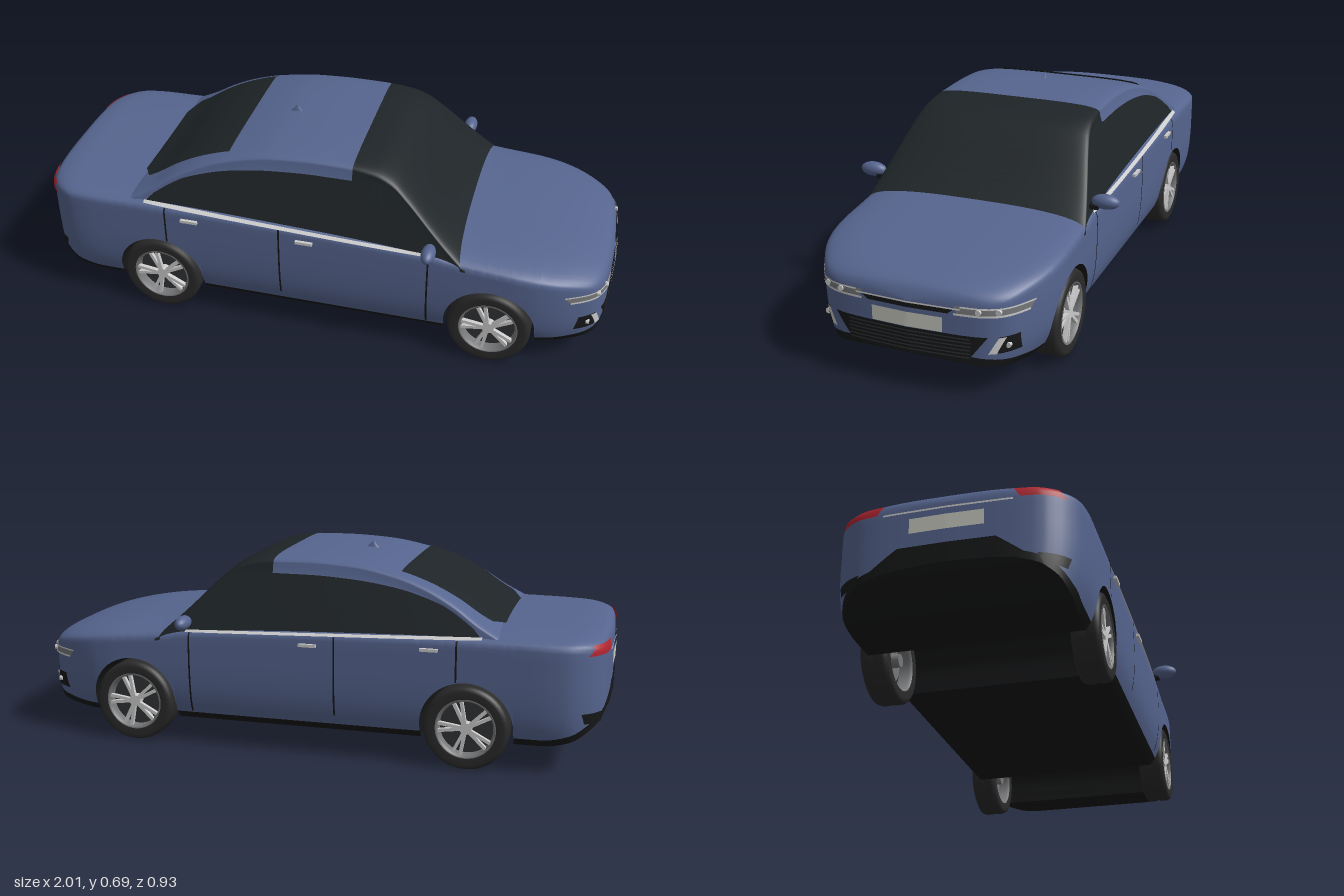
import * as THREE from 'three';
import { mergeVertices, toCreasedNormals } from 'three/addons/utils/BufferGeometryUtils.js';

const mat = (color) => new THREE.MeshStandardMaterial({ color, side: THREE.DoubleSide });
const PAINT = mat(0x56658f), GLASS = mat(0x1e2427), BLACK = mat(0x161718), RUBBER = mat(0x2a2a2b);
const CHROME = mat(0xcccccc), PLATE = mat(0xc8c8c0), RED = mat(0xb02530), GREY = mat(0x77787a), MESH = mat(0x303336);

// Smooth monotone curve through a few [x, y] points
function curve(p) {
  const d = p.slice(1).map((q, i) => (q[1] - p[i][1]) / (q[0] - p[i][0]));
  const m = p.map((_, i) => {
    if (i === 0) return d[0];
    if (i === p.length - 1) return d[i - 1];
    return d[i - 1] * d[i] <= 0 ? 0 : (2 * d[i - 1] * d[i]) / (d[i - 1] + d[i]);
  });
  return (x) => {
    if (x <= p[0][0]) return p[0][1];
    if (x >= p[p.length - 1][0]) return p[p.length - 1][1];
    const i = p.findIndex((q) => q[0] > x) - 1;
    const h = p[i + 1][0] - p[i][0], t = (x - p[i][0]) / h, s = 1 - t;
    return p[i][1] * (1 + 2 * t) * s * s + m[i] * h * t * s * s + p[i + 1][1] * t * t * (3 - 2 * t) - m[i + 1] * h * t * t * s;
  };
}
const range = (a, b, n) => Array.from({ length: n + 1 }, (_, i) => a + ((b - a) * i) / n);

// Body curves along x: plan half-width, top line, bottom line; and side bulge by height
const width = curve([[-1, 0], [-0.995, 0.19], [-0.98, 0.285], [-0.93, 0.35], [-0.87, 0.38], [-0.78, 0.388], [0.68, 0.388], [0.75, 0.383], [0.82, 0.368], [0.9, 0.332], [0.95, 0.295], [0.98, 0.24], [0.99, 0.18], [1, 0]]);
const top = curve([[-1, 0.42], [-0.99, 0.443], [-0.97, 0.457], [-0.9, 0.465], [-0.6, 0.468], [0, 0.455], [0.42, 0.435], [0.5, 0.423], [0.7, 0.405], [0.85, 0.382], [0.95, 0.354], [0.98, 0.337], [0.993, 0.315], [1, 0.295]]);
const bottom = curve([[-1, 0.22], [-0.985, 0.19], [-0.95, 0.155], [-0.89, 0.115], [-0.8, 0.095], [0.78, 0.088], [0.9, 0.097], [0.98, 0.112], [1, 0.125]]);
const bulge = curve([[0.08, 0.86], [0.12, 0.935], [0.17, 0.975], [0.23, 0.993], [0.3, 1], [0.5, 1]]);
const AXLES = [-0.555, 0.62], WHEEL_Y = 0.145, ARCH = 0.155, CROWN = 0.05;

// Lower body edge, lifted over the wheels
function lowEdge(x) {
  for (const c of AXLES) {
    const d = Math.abs(x - c);
    if (d <= ARCH + 1e-6) return WHEEL_Y + Math.sqrt(Math.max(0, ARCH * ARCH - d * d));
  }
  return bottom(x);
}
const trimEdge = (x) => Math.max(lowEdge(x), bottom(x) + 0.025);
function halfWidth(x, y) {
  const k = (y - top(x) + CROWN) / CROWN;
  if (k >= 1) return 0;
  return width(x) * bulge(y) * (k > 0 ? Math.cbrt(1 - k ** 3) : 1);
}

// Greenhouse curves: roof line, top of the side glass, inward lean of the sides
const roof = curve([[-0.69, 0.44], [-0.65, 0.463], [-0.58, 0.502], [-0.5, 0.555], [-0.4, 0.605], [-0.3, 0.638], [-0.15, 0.665], [0, 0.672], [0.12, 0.67], [0.2, 0.66], [0.26, 0.637], [0.32, 0.588], [0.4, 0.51], [0.46, 0.453], [0.5, 0.418], [0.53, 0.39]]);
const glassTop = curve([[-0.61, 0.43], [-0.55, 0.49], [-0.45, 0.545], [-0.3, 0.587], [-0.15, 0.606], [0, 0.613], [0.13, 0.613]]);
const lean = (y) => 0.372 - 0.33 * (y - 0.42);
const cabinBase = (x) => top(x) - CROWN;
const roofEdge = (x) => Math.max(cabinBase(x), roof(x) - 0.035);
const glassEdge = (x) => Math.min(roofEdge(x), Math.max(cabinBase(x), glassTop(x)));
const roofY = (x, z) => {
  const e = roofEdge(x);
  return e + (roof(x) - e) * Math.pow(Math.max(0, 1 - (Math.abs(z) / lean(e)) ** 4), 0.25);
};

// Skin a list of cross-sections
function skin(sections, crease) {
  const n = sections[0].length, index = [];
  for (let i = 0; i < sections.length - 1; i++)
    for (let j = 0; j < n - 1; j++) {
      const a = i * n + j, b = a + n;
      index.push(a, a + 1, b, b, a + 1, b + 1);
    }
  let g = new THREE.BufferGeometry();
  g.setAttribute('position', new THREE.Float32BufferAttribute(sections.flat(2), 3));
  g.setIndex(index);
  g = mergeVertices(g, 1e-5);
  if (crease) return toCreasedNormals(g, crease);
  g.computeVertexNormals();
  return g;
}
const mirrorSection = (half) => [...half, ...half.slice(0, -1).reverse().map(([x, y, z]) => [x, y, -z])];

export function createModel() {
  const car = new THREE.Group();
  car.name = 'car';
  const add = (name, geo, material, parent = car, pos = [0, 0, 0]) => {
    const m = new THREE.Mesh(geo, material);
    m.name = name;
    m.position.set(...pos);
    parent.add(m);
    return m;
  };

  // Body stations: even spacing, denser at both ends and round the arches
  let xs = range(-0.8, 0.8, 40);
  for (let k = 0; k <= 16; k++) xs.push(1 - 0.2 * (k / 16) ** 2, -1 + 0.2 * (k / 16) ** 2);
  for (const c of AXLES) {
    for (const a of range(0, Math.PI, 24)) xs.push(c + ARCH * Math.cos(a));
    xs.push(c - ARCH - 2e-4, c + ARCH + 2e-4);
  }
  xs = [...new Set(xs)].sort((a, b) => a - b);

  add('bodyShell', skin(xs.map((x) => {
    const ys = top(x) - CROWN;
    const half = range(trimEdge(x), ys, 9).map((y) => [x, y, width(x) * bulge(y)]);
    for (const a of range(0, Math.PI / 2, 12).slice(1)) {
      const y = ys + CROWN * Math.pow(Math.sin(a), 2 / 3);
      half.push([x, y, width(x) * bulge(y) * Math.pow(Math.max(0, Math.cos(a)), 2 / 3)]);
    }
    return mirrorSection(half);
  })), PAINT);
  for (const s of [1, -1])
    add('sillTrim', skin(xs.map((x) => range(lowEdge(x), trimEdge(x), 2).map((y) => [x, y, s * width(x) * bulge(y)]))), BLACK);
  add('underbody', skin(xs.map((x) => [1, -1].map((s) => [x, lowEdge(x), s * width(x) * bulge(lowEdge(x))])), 0.6), BLACK);

  // Greenhouse: roof with rails, side glass, windscreen, rear window
  const upper = (x) => [[x, glassEdge(x), lean(glassEdge(x))], ...range(0, Math.PI / 2, 14).map((a) => {
    const e = roofEdge(x);
    return [x, e + (roof(x) - e) * Math.sqrt(Math.sin(a)), lean(e) * Math.sqrt(Math.max(0, Math.cos(a)))];
  })];
  const sideWall = (x, s) => range(cabinBase(x), glassEdge(x), 4).map((y) => [x, y, s * lean(y)]);
  const rearXs = range(-0.69, 0.125, 40), frontXs = range(0.125, 0.53, 24);
  add('roof', skin(rearXs.map((x) => mirrorSection(upper(x)))), PAINT);
  for (const s of [1, -1]) add('sideGlass', skin(rearXs.map((x) => sideWall(x, s))), GLASS);
  add('windscreen', skin(frontXs.map((x) => mirrorSection([...range(cabinBase(x), glassEdge(x), 3).map((y) => [x, y, lean(y)]), ...upper(x).slice(1)]))), GLASS);
  add('rearWindow', skin(range(-0.66, -0.31, 24).map((x) => {
    const w = Math.min(0.27, 0.19 + (x + 0.66) * 1.8);
    return range(-w, w, 16).map((z) => [x - 0.002, roofY(x, z) + 0.005, z]);
  })), GLASS);

  // Thin patches that follow the body side
  const sidePatch = (name, x0, x1, lo, hi, material, off, ny = 1) => {
    for (const s of [1, -1])
      add(name, skin(range(x0, x1, Math.ceil((x1 - x0) * 24)).map((x) => range(lo(x), hi(x), ny).map((y) =>
        [x, y, s * (Math.max(halfWidth(x, y), y > 0.4 ? lean(y) : 0) + off)]))), material);
  };
  const belt = (x) => 0.425 - 0.036 * x;
  sidePatch('beltMoulding', -0.6, 0.42, (x) => belt(x) - 0.004, (x) => belt(x) + 0.004, CHROME, 0.005);
  for (const [x, y0] of [[-0.52, 0.3], [-0.11, 0.15], [0.405, 0.12]])
    sidePatch('doorSeam', x - 0.003, x + 0.003, () => y0, () => belt(x) - 0.006, BLACK, 0.002, 16);

  // Patches that wrap round the nose (dir 1) or tail (dir -1), given by their z limits at bottom and top
  const endX = (dir, z, y) => {
    let a = 0.6, b = 1;
    for (let i = 0; i < 30; i++) {
      const m = (a + b) / 2;
      if (halfWidth(dir * m, y) > Math.abs(z)) a = m; else b = m;
    }
    return dir * a;
  };
  const endPatch = (name, dir, [y0, y1], [a0, a1], [b0, b1], material, off = 0.005, both = true) => {
    for (const s of both ? [1, -1] : [1])
      add(name, skin(range(0, 1, 20).map((u) => range(0, 1, 4).map((v) => {
        const y = y0 + (y1 - y0) * v, z = s * ((a0 + (a1 - a0) * u) * (1 - v) + (b0 + (b1 - b0) * u) * v);
        return [endX(dir, z, y) + dir * off, y, z];
      }))), material);
  };
  // Nose
  endPatch('grille', 1, [0.13, 0.21], [-0.19, 0.19], [-0.25, 0.25], BLACK, 0.004, false);
  for (const y of range(0.14, 0.2, 5)) endPatch('grilleBar', 1, [y - 0.002, y + 0.002], [-0.2, 0.2], [-0.2, 0.2], MESH, 0.006, false);
  endPatch('noseSlot', 1, [0.276, 0.291], [-0.13, 0.13], [-0.15, 0.15], BLACK, 0.005, false);
  endPatch('noseMoulding', 1, [0.291, 0.296], [-0.17, 0.17], [-0.17, 0.17], CHROME, 0.006, false);
  endPatch('frontPlate', 1, [0.214, 0.262], [-0.115, 0.115], [-0.115, 0.115], PLATE, 0.008, false);
  endPatch('headlight', 1, [0.276, 0.303], [0.16, 0.345], [0.15, 0.355], GREY, 0.004);
  endPatch('headlightStrip', 1, [0.274, 0.281], [0.15, 0.345], [0.15, 0.345], CHROME, 0.006);
  endPatch('headlightStrip', 1, [0.299, 0.304], [0.17, 0.355], [0.17, 0.355], CHROME, 0.006);
  endPatch('fogLightRecess', 1, [0.155, 0.21], [0.275, 0.325], [0.28, 0.325], BLACK);
  endPatch('fogLightBlade', 1, [0.155, 0.208], [0.25, 0.272], [0.25, 0.278].map((z, i) => z + (i ? 0.02 : 0.03)), CHROME, 0.007);
  // Tail
  endPatch('tailLight', -1, [0.405, 0.437], [0.22, 0.35], [0.2, 0.325], RED, 0.006);
  endPatch('tailMoulding', -1, [0.397, 0.403], [-0.2, 0.2], [-0.2, 0.2], CHROME, 0.005, false);
  endPatch('rearPlate', -1, [0.325, 0.375], [-0.115, 0.115], [-0.115, 0.115], PLATE, 0.006, false);
  endPatch('rearDiffuser', -1, [0.215, 0.28], [-0.24, 0.24], [-0.15, 0.15], BLACK, 0.005, false);
  endPatch('rearReflector', -1, [0.18, 0.215], [0.29, 0.345], [0.27, 0.355], BLACK);

  // Lamps, handles, mirrors on both sides
  const lamp = new THREE.CylinderGeometry(0.009, 0.009, 0.012, 16).rotateZ(Math.PI / 2);
  for (const s of [1, -1]) {
    for (const [z, y] of [[0.225, 0.291], [0.28, 0.291], [0.3, 0.18]])
      add('lamp', lamp, CHROME, car, [endX(1, z, y) + 0.004, y, s * z]);
    for (const [x, y] of [[-0.43, 0.403], [-0.02, 0.39]])
      add('doorHandle', new THREE.BoxGeometry(0.06, 0.01, 0.012), CHROME, car, [x, y, s * (halfWidth(x, y) + 0.005)]);
    add('mirror', new THREE.SphereGeometry(1, 24, 16).scale(0.024, 0.025, 0.047), PAINT, car, [0.41, 0.446, s * 0.418]);
    add('mirrorStalk', new THREE.BoxGeometry(0.03, 0.014, 0.04), BLACK, car, [0.415, 0.428, s * 0.378]);
  }
  // Roof aerial
  add('aerial', new THREE.ConeGeometry(0.02, 0.026, 12).scale(1.2, 1, 0.4), PAINT, car, [-0.15, 0.675, 0]);

  // Wheels: tyre, rim barrel, hub and five split spokes
  const tyre = new THREE.LatheGeometry([[0.1, -0.044], [0.125, -0.047], [0.137, -0.042], [0.142, -0.03], [0.142, -0.008], [0.138, -0.007], [0.138, 0.007], [0.142, 0.008], [0.142, 0.03], [0.137, 0.042], [0.125, 0.047], [0.1, 0.044]].map((p) => new THREE.Vector2(...p)), 48).rotateX(Math.PI / 2);
  const barrel = new THREE.LatheGeometry([[0.102, 0.044], [0.095, 0.045], [0.09, 0.03], [0.09, -0.035], [0.102, -0.044]].map((p) => new THREE.Vector2(...p)), 40).rotateX(Math.PI / 2);
  const disc = (r, d) => new THREE.CylinderGeometry(r, r, d, 32).rotateX(Math.PI / 2);
  for (const x of AXLES) for (const s of [1, -1]) {
    const wheel = new THREE.Group();
    wheel.name = 'wheel';
    wheel.position.set(x, WHEEL_Y - 0.003, s * 0.338);
    if (s < 0) wheel.rotation.y = Math.PI;
    car.add(wheel);
    add('tyre', tyre, RUBBER, wheel);
    add('rimBarrel', barrel, GREY, wheel);
    add('wheelBack', disc(0.09, 0.01), MESH, wheel, [0, 0, 0.005]);
    add('brakeDisc', disc(0.065, 0.012), GREY, wheel, [0, 0, -0.005]);
    add('axleStub', disc(0.022, 0.04), GREY, wheel, [0, 0, -0.02]);
    add('hub', disc(0.02, 0.03), CHROME, wheel, [0, 0, 0.025]);
    for (let i = 0; i < 5; i++) for (const k of [-1, 1]) {
      const spoke = new THREE.BoxGeometry(0.011, 0.084, 0.014).translate(0, 0.053, 0).rotateZ(k * 0.14);
      add('spoke', spoke, CHROME, wheel, [0, 0, 0.033]).rotation.z = (i * Math.PI * 2) / 5 + Math.PI / 10;
    }
  }
  return car;
}
